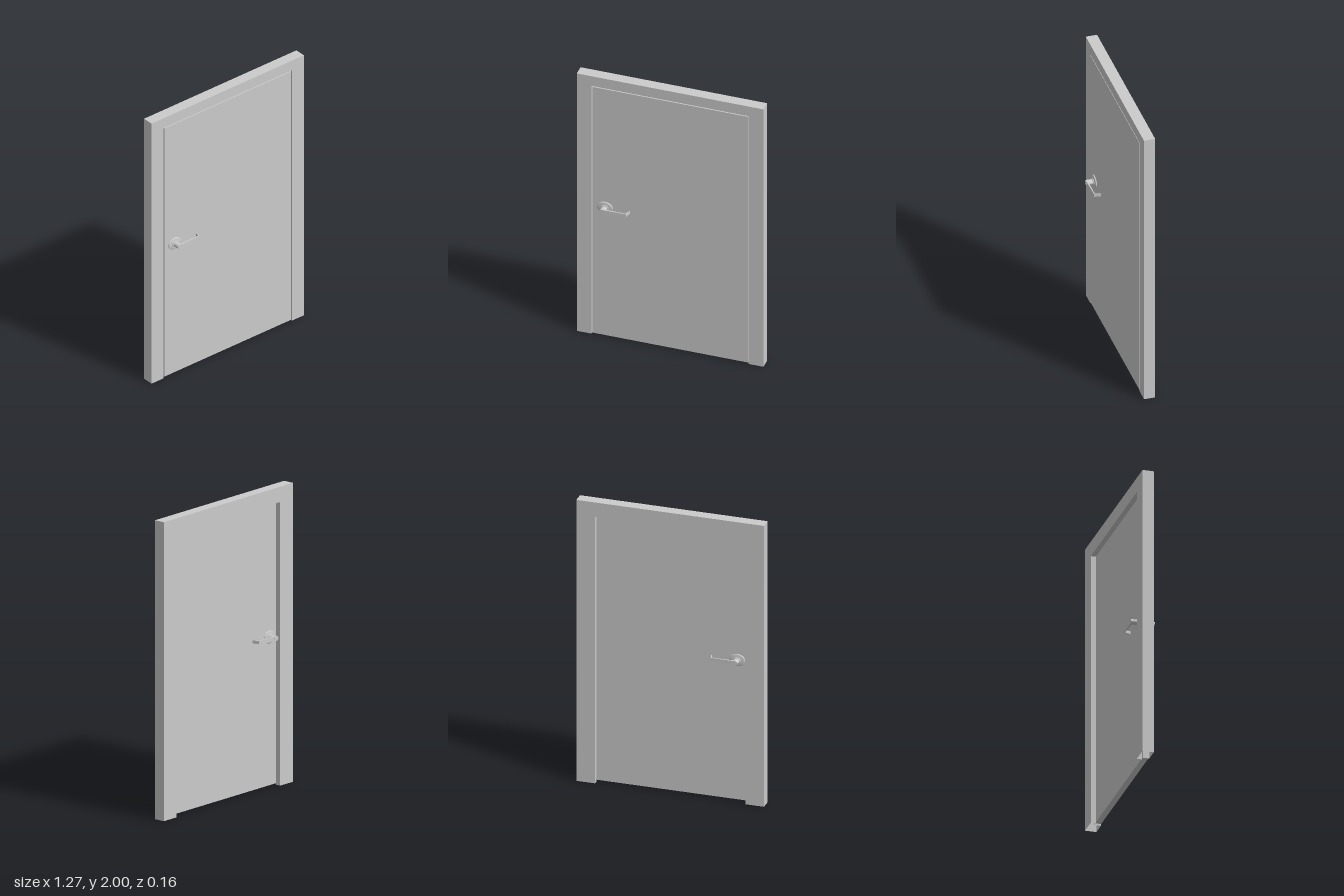
import * as THREE from 'three';

const grey = new THREE.MeshStandardMaterial({ color: 0xcccccc });
const greyOpen = new THREE.MeshStandardMaterial({ color: 0xcccccc, side: THREE.DoubleSide });

function part(name, geometry, material = grey) {
  const mesh = new THREE.Mesh(geometry, material);
  mesh.name = name;
  return mesh;
}

// Hollow rebated frame: a profile swept up, across and down with mitred corners
function frameGeometry() {
  // [inset from the outer edge, z]
  const profile = [[0, 0.02], [0.1, 0.02], [0.1, -0.022], [0.127, -0.022], [0.127, -0.056], [0, -0.056]];
  const point = (station, [inset, z]) => {
    const side = station < 2 ? -1 : 1;
    const atTop = station === 1 || station === 2;
    const y = atTop ? 2 - Math.max(0, inset - 0.025) : 0;
    return [side * (0.637 - inset), y, z];
  };
  const positions = [];
  for (let i = 0; i < 3; i++) {
    for (let j = 0; j < profile.length; j++) {
      const p = profile[j], q = profile[(j + 1) % profile.length];
      const a = point(i, p), b = point(i, q), c = point(i + 1, q), d = point(i + 1, p);
      positions.push(...a, ...b, ...c, ...a, ...c, ...d);
    }
  }
  const geometry = new THREE.BufferGeometry();
  geometry.setAttribute('position', new THREE.Float32BufferAttribute(positions, 3));
  geometry.computeVertexNormals();
  return geometry;
}

// Round part turned about z and squashed into an ellipse; points are [radius, z]
function turned(points, squash) {
  return new THREE.LatheGeometry(points.map(([r, z]) => new THREE.Vector2(r, z)), 40)
    .rotateX(Math.PI / 2)
    .scale(1, squash, 1);
}

// Thin lever with a bent-back end, tapering in height; rise lifts its tip
function leverGeometry(rise) {
  const outline = new THREE.Shape();
  outline.moveTo(0, 0.079);
  outline.lineTo(0.163, 0.074);
  outline.lineTo(0.174, 0.029);
  outline.lineTo(0.17, 0.028);
  outline.lineTo(0.157, 0.068);
  outline.lineTo(0.02, 0.068);
  outline.lineTo(0, 0.066);
  outline.closePath();
  const geometry = new THREE.ExtrudeGeometry(outline, { depth: 2, bevelEnabled: false });
  geometry.translate(0, 0, -1).rotateX(Math.PI / 2);
  const pos = geometry.attributes.position;
  for (let i = 0; i < pos.count; i++) {
    const t = pos.getX(i) / 0.174;
    pos.setY(i, pos.getY(i) * (0.016 - 0.006 * t) + rise * t);
  }
  geometry.computeVertexNormals();
  return geometry;
}

function handle(name, side) {
  const group = new THREE.Group();
  group.name = name;
  group.add(
    part('rosette', turned([[0.054, 0.019], [0.054, 0.025], [0.05, 0.028], [0.03, 0.03], [0, 0.03]], 0.78)),
    part('collar', turned([[0.028, 0.028], [0.028, 0.034], [0.025, 0.037], [0, 0.037]], 0.8)),
    part('hub', new THREE.CylinderGeometry(0.021, 0.021, 0.05, 32).rotateX(Math.PI / 2)
      .scale(1, 0.8, 1).translate(0, 0, 0.055)),
    part('lever', leverGeometry(side * 0.004)),
  );
  group.position.set(-0.444, 1.003, 0);
  // Half turn about x puts the handle on the back with the lever still pointing inward
  if (side < 0) group.rotation.x = Math.PI;
  return group;
}

export function createModel() {
  const model = new THREE.Group();
  model.name = 'door';
  model.add(part('frame', frameGeometry(), greyOpen));

  // Door leaf, flush with the front of the frame
  const leaf = part('doorLeaf', new THREE.BoxGeometry(1.062, 1.909, 0.04));
  leaf.position.y = 0.01 + 1.909 / 2;
  model.add(leaf);

  model.add(handle('frontHandle', 1), handle('backHandle', -1));
  return model;
}
